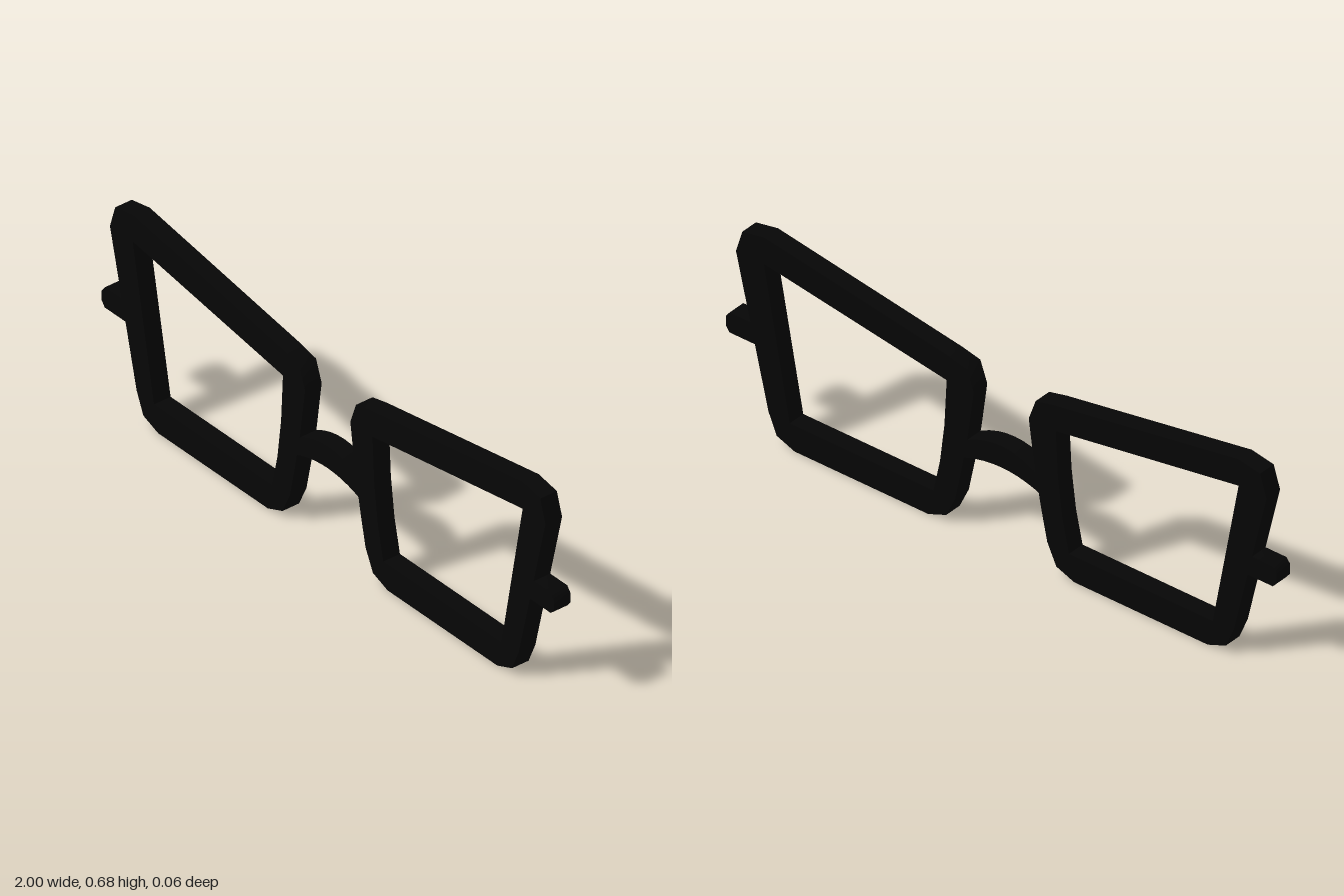
import * as THREE from 'three';
import { toCreasedNormals } from 'three/addons/utils/BufferGeometryUtils.js';

const DEPTH = 0.06;

export function createModel() {
  const group = new THREE.Group();
  const black = new THREE.MeshStandardMaterial({ color: 0x060606 });
  black.name = 'black plastic';

  // Flat plate cut from an outline, centred on z = 0; side -1 mirrors it in x
  const points = (list, side) => list.map(([x, y]) => new THREE.Vector2(x * side, y));
  function plate(name, outline, side = 1, hole = null) {
    const shape = new THREE.Shape(points(outline, side));
    if (hole) shape.holes.push(new THREE.Path(points(hole, side)));
    const geometry = new THREE.ExtrudeGeometry(shape, { depth: DEPTH, bevelEnabled: false });
    geometry.translate(0, 0, -DEPTH / 2);
    // Soft corners around the outline, sharp edges to the flat faces
    const mesh = new THREE.Mesh(toCreasedNormals(geometry, Math.PI / 3), black);
    mesh.name = name;
    group.add(mesh);
  }

  // Rim: chamfered corners, bowed edge towards the nose
  const rim = [
    [0.1, 0.485], [0.125, 0.555], [0.19, 0.57], [0.86, 0.68], [0.94, 0.665], [0.963, 0.59],
    [0.845, 0.095], [0.815, 0.025], [0.75, 0], [0.265, 0], [0.2, 0.025], [0.167, 0.095],
    [0.145, 0.2], [0.121, 0.33],
  ];
  // Lens opening, running the opposite way round to the rim
  const opening = [
    [0.206, 0.33], [0.222, 0.2], [0.246, 0.088], [0.768, 0.088], [0.862, 0.59], [0.198, 0.485],
  ];

  // Short hinge stub, its inner end buried in the rim
  const stub = [
    [0.86, 0.302], [0.986, 0.302], [1, 0.32], [1, 0.352], [0.986, 0.37], [0.86, 0.37],
  ];

  for (const [label, side] of [['left', 1], ['right', -1]]) {
    plate(label + 'Rim', rim, side, opening);
    plate(label + 'HingeStub', stub, side);
  }

  // Arched nose bridge
  const arch = (y, drop) => Array.from({ length: 11 }, (_, i) => {
    const x = -0.15 + 0.03 * i;
    return [x, y - drop * (x / 0.15) ** 2];
  });
  plate('noseBridge', [...arch(0.275, 0.032), ...arch(0.348, 0.05).reverse()]);

  return group;
}
